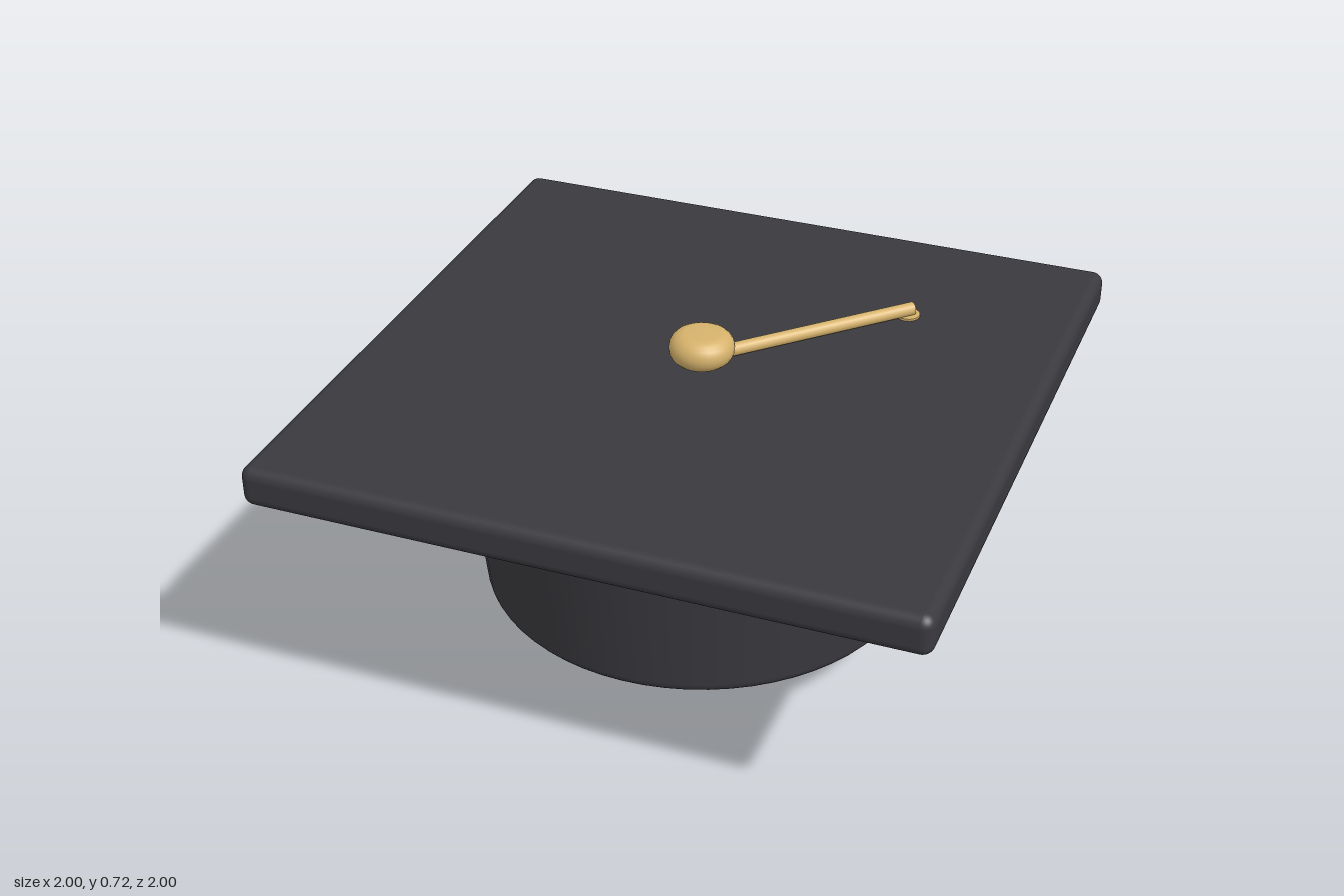
import * as THREE from 'three';
import { RoundedBoxGeometry } from 'three/addons/geometries/RoundedBoxGeometry.js';

const v = (x, y) => new THREE.Vector2(x, y);

// Quarter-round corner points about (cx, cy), angles in degrees
function arc(cx, cy, r, from, to, steps = 6) {
  const points = [];
  for (let i = 0; i <= steps; i++) {
    const a = THREE.MathUtils.degToRad(from + (to - from) * i / steps);
    points.push(v(cx + r * Math.cos(a), cy + r * Math.sin(a)));
  }
  return points;
}

export function createModel() {
  const cloth = new THREE.MeshStandardMaterial({ color: 0x3a393e });
  cloth.name = 'charcoal cloth';
  const gold = new THREE.MeshStandardMaterial({ color: 0xd6b26c });
  gold.name = 'gold thread';

  const group = new THREE.Group();
  group.name = 'graduationCap';
  const add = (name, geometry, material, x = 0, y = 0, z = 0) => {
    const mesh = new THREE.Mesh(geometry, material);
    mesh.name = name;
    mesh.position.set(x, y, z);
    group.add(mesh);
    return mesh;
  };

  // Square board, turned so its corners point along x and z
  const r = 0.025;
  const side = 2 * ((1 - r) / Math.SQRT2 + r);
  add('board', new RoundedBoxGeometry(side, 0.09, side, 4, r), cloth, 0, 0.6, 0)
    .rotation.y = Math.PI / 4;

  // Head crown, closed and softly rounded, slightly wider at the top
  add('crown', new THREE.LatheGeometry([
    v(0, 0.125), v(0.3, 0.125), v(0.44, 0.125),
    ...arc(0.451, 0.155, 0.03, -90, -5),
    ...arc(0.489, 0.52, 0.03, -5, 90),
    v(0.47, 0.55), v(0, 0.55),
  ], 64), cloth);

  // Button in the middle of the board
  add('button', new THREE.LatheGeometry([
    v(0, 0.648), ...arc(0.036, 0.683, 0.035, -90, 90, 10), v(0, 0.718),
  ], 32), gold);

  // Cord lying on the board
  add('topCord', new THREE.CylinderGeometry(0.015, 0.015, 0.51, 16), gold, 0.255, 0.66, 0)
    .rotation.z = Math.PI / 2;

  // Cord hanging through the board, and the tassel on its end
  add('hangingCord', new THREE.CylinderGeometry(0.027, 0.027, 0.55, 20), gold, 0.498, 0.375, 0);
  add('tassel', new THREE.LatheGeometry([
    v(0, 0), v(0.071, 0), v(0.071, 0.145), v(0, 0.145),
  ], 32), gold, 0.498, 0, 0);

  return group;
}
